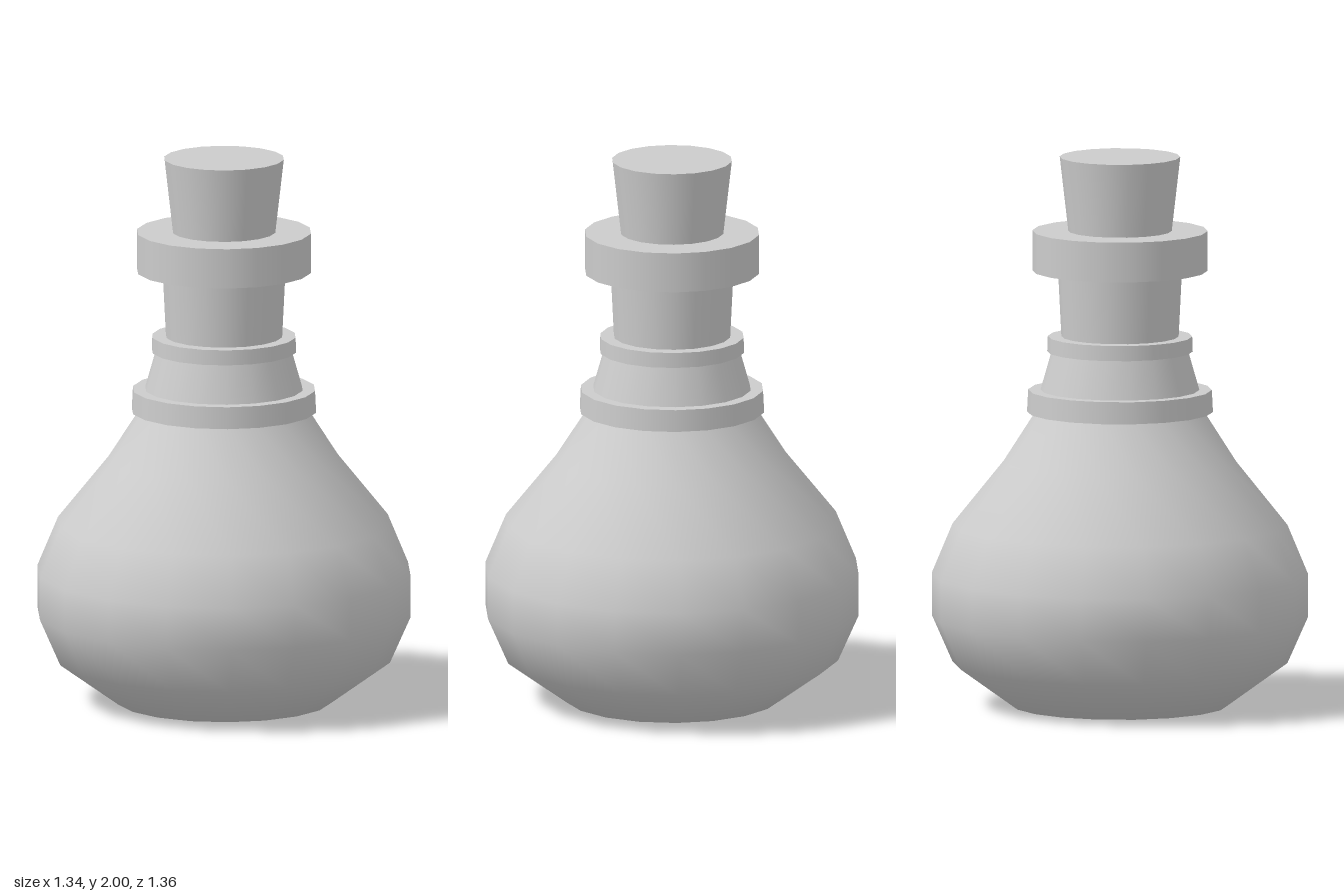
import * as THREE from 'three';

const SIDES = 18;

export function createModel() {
  const model = new THREE.Group();
  const material = new THREE.MeshStandardMaterial({ color: 0xcccccc });

  const add = (name, geometry) => {
    const mesh = new THREE.Mesh(geometry, material);
    mesh.name = name;
    model.add(mesh);
    return mesh;
  };

  // Capped round section between two heights
  const section = (name, bottomRadius, topRadius, y0, y1) => {
    const geometry = new THREE.CylinderGeometry(topRadius, bottomRadius, y1 - y0, SIDES);
    add(name, geometry).position.y = (y0 + y1) / 2;
  };

  // Rounded belly, smooth through to the flat base
  const belly = [
    [0, 0], [0.39, 0], [0.605, 0.155], [0.68, 0.325], [0.68, 0.48],
    [0.605, 0.66], [0.42, 0.89], [0.305, 1.07],
  ].map(([r, y]) => new THREE.Vector2(r, y));
  add('belly', new THREE.LatheGeometry(belly, SIDES));

  // Neck with its two collars
  section('shoulderCollar', 0.336, 0.332, 1.07, 1.15);
  section('lowerNeck', 0.287, 0.247, 1.15, 1.29);
  section('neckCollar', 0.263, 0.261, 1.29, 1.345);
  section('upperNeck', 0.212, 0.224, 1.345, 1.585);

  // Wide lip and tapered stopper
  section('lip', 0.317, 0.317, 1.585, 1.73);
  section('stopper', 0.187, 0.218, 1.73, 2);

  return model;
}
